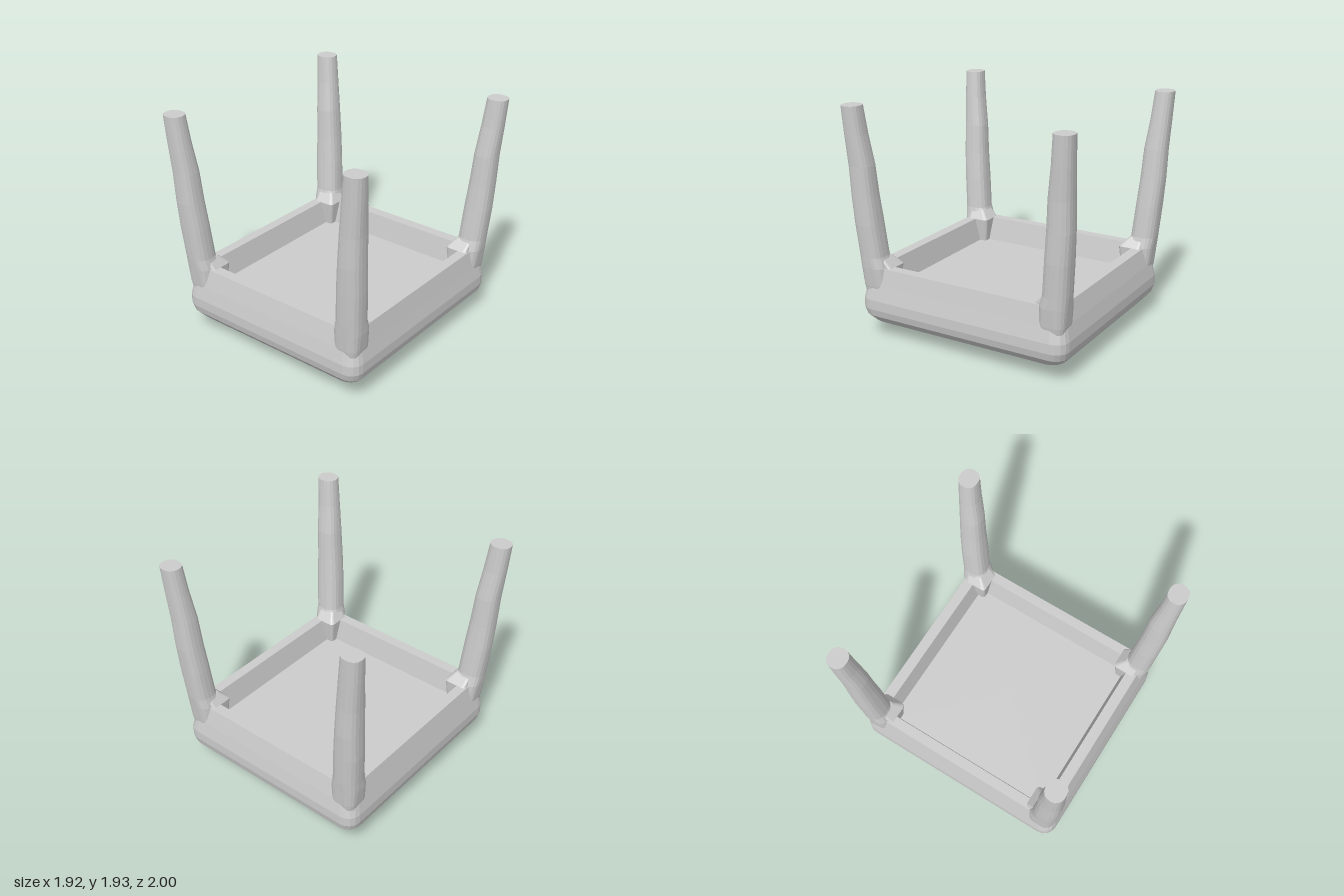
import * as THREE from 'three';

const material = new THREE.MeshStandardMaterial({
  color: 0xcccccc, flatShading: true, side: THREE.DoubleSide,
});
const SEG = 4; // facets per rounded corner

// Rounded rectangle at height y, spanning x0..x1 and z0..z1
function ring(y, x0, x1, z0, z1, r) {
  const pts = [];
  const corners = [[x1 - r, z1 - r], [x0 + r, z1 - r], [x0 + r, z0 + r], [x1 - r, z0 + r]];
  corners.forEach(([cx, cz], c) => {
    for (let i = 0; i <= SEG; i++) {
      const a = (c + i / SEG) * Math.PI / 2;
      pts.push([cx + r * Math.cos(a), y, cz + r * Math.sin(a)]);
    }
  });
  return pts;
}
const centred = ([y, hx, hz, r]) => ring(y, -hx, hx, -hz, hz, r);

// Skin through a list of rings, optionally closed by a centre point at either end
function loft(name, rings, startY = null, endY = null) {
  const n = rings[0].length, pos = rings.flat(2), idx = [];
  for (let k = 0; k < rings.length - 1; k++) {
    for (let i = 0; i < n; i++) {
      const j = (i + 1) % n, a = k * n, b = a + n;
      idx.push(a + i, b + i, a + j, a + j, b + i, b + j);
    }
  }
  const cap = (y, base, flip) => {
    const c = pos.length / 3;
    const mid = [0, 2].map(d => rings[base / n].reduce((s, p) => s + p[d], 0) / n);
    pos.push(mid[0], y, mid[1]);
    for (let i = 0; i < n; i++) {
      const j = (i + 1) % n;
      idx.push(c, base + (flip ? i : j), base + (flip ? j : i));
    }
  };
  if (startY !== null) cap(startY, 0, true);
  if (endY !== null) cap(endY, (rings.length - 1) * n, false);
  const g = new THREE.BufferGeometry();
  g.setAttribute('position', new THREE.Float32BufferAttribute(pos, 3));
  g.setIndex(idx);
  g.computeVertexNormals();
  const mesh = new THREE.Mesh(g, material);
  mesh.name = name;
  return mesh;
}

export function createModel() {
  const group = new THREE.Group();
  group.name = 'upturnedStool';

  // Domed cushion, resting on its crown: [y, half width, half depth, corner radius]
  group.add(loft('cushion', [
    [0.01, 0.2, 0.22, 0.05], [0.03, 0.42, 0.45, 0.08], [0.06, 0.62, 0.67, 0.1],
    [0.1, 0.75, 0.8, 0.11], [0.14, 0.82, 0.87, 0.11], [0.2, 0.87, 0.92, 0.11],
    [0.26, 0.885, 0.935, 0.11], [0.34, 0.885, 0.935, 0.11], [0.46, 0.86, 0.91, 0.1],
  ].map(centred), 0));

  // Apron rails around the recess
  group.add(loft('apron', [
    [0.46, 0.86, 0.91, 0.1], [0.61, 0.83, 0.87, 0.1],
    [0.61, 0.745, 0.78, 0.05], [0.41, 0.7, 0.74, 0.04],
  ].map(centred)));

  // Underside of the seat inside the apron
  group.add(loft('seatUnderside', [[0.41, 0.7, 0.74, 0.04]].map(centred), null, 0.41));

  // Leg and brace sections: [y, inner x, outer x, inner z, outer z, rounding 0..1]
  const legRows = [
    [0.3, 0.66, 0.84, 0.71, 0.89, 0.6], [0.46, 0.65, 0.868, 0.7, 0.915, 0.6],
    [0.61, 0.65, 0.885, 0.705, 0.93, 0.7], [0.7, 0.67, 0.89, 0.73, 0.94, 0.8],
    [0.97, 0.69, 0.91, 0.755, 0.96, 0.8], [1.2, 0.713, 0.918, 0.775, 0.975, 0.8],
    [1.45, 0.735, 0.927, 0.79, 0.98, 0.8], [1.7, 0.765, 0.945, 0.825, 0.99, 0.85],
    [1.93, 0.79, 0.96, 0.845, 1.0, 0.9],
  ];
  const braceRows = [
    [0.4, 0.64, 0.8, 0.68, 0.85, 0.3], [0.61, 0.62, 0.82, 0.66, 0.86, 0.3],
    [0.69, 0.68, 0.82, 0.735, 0.86, 0.3],
  ];
  const place = (rows, sx, sz) => rows.map(([y, xi, xo, zi, zo, k]) => {
    const [x0, x1] = sx > 0 ? [xi, xo] : [-xo, -xi];
    const [z0, z1] = sz > 0 ? [zi, zo] : [-zo, -zi];
    return ring(y, x0, x1, z0, z1, k * Math.min(xo - xi, zo - zi) / 2);
  });
  for (const sx of [-1, 1]) {
    for (const sz of [-1, 1]) {
      const corner = (sz > 0 ? 'front' : 'back') + (sx > 0 ? 'Left' : 'Right');
      group.add(loft(corner + 'Leg', place(legRows, sx, sz), 0.3, 1.93));
      group.add(loft(corner + 'Brace', place(braceRows, sx, sz), 0.4, 0.69));
    }
  }
  return group;
}
